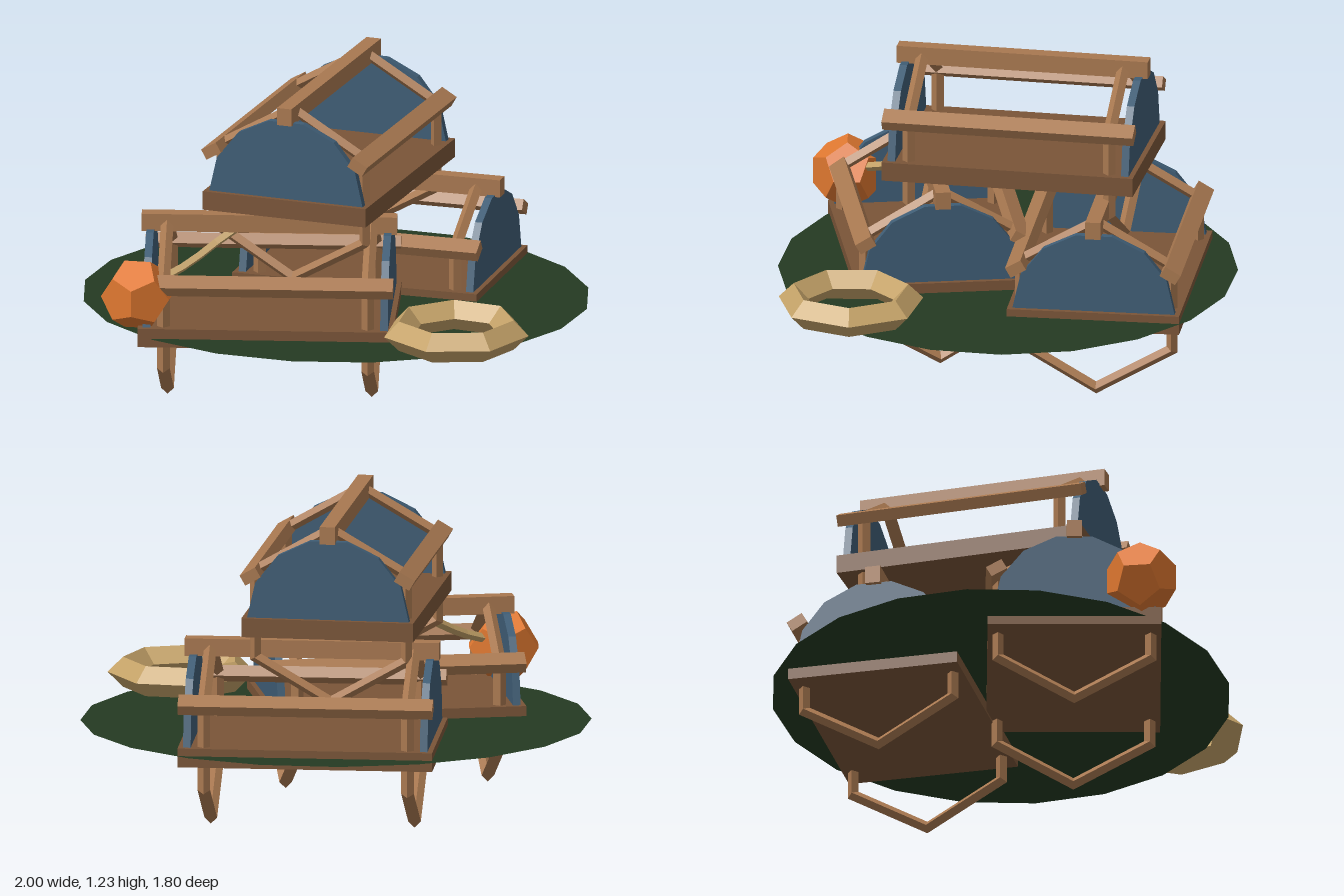
import * as THREE from 'three';

const mat = (color, side = THREE.FrontSide) =>
  new THREE.MeshStandardMaterial({ color, flatShading: true, side });

const wood = mat(0xa87850);
const darkWood = mat(0x7a5538);
const netBlue = mat(0x3f5d75);
const rope = mat(0xc4a268);
const orange = mat(0xe07830);
const green = mat(0x243a22, THREE.DoubleSide);

function add(parent, name, geometry, material, x = 0, y = 0, z = 0) {
  const mesh = new THREE.Mesh(geometry, material);
  mesh.name = name;
  mesh.position.set(x, y, z);
  parent.add(mesh);
  return mesh;
}

// One slatted trap, long axis along z, origin at the top of its floor
function createTrap(name) {
  const trap = new THREE.Group();
  trap.name = name;
  add(trap, 'floor', new THREE.BoxGeometry(0.68, 0.075, 1), darkWood, 0, -0.0375, 0);
  add(trap, 'ridgeBeam', new THREE.BoxGeometry(0.06, 0.07, 1), wood, 0, 0.34, 0);
  for (const s of [-1, 1]) {
    // side rails tilted to the roof slope
    const rail = add(trap, 'sideRail', new THREE.BoxGeometry(0.07, 0.045, 1), wood, s * 0.305, 0.168, 0);
    rail.rotation.z = -s * Math.PI / 6;

    // six-sided bow, running above and below the floor
    const bow = new THREE.TorusGeometry(0.345, 0.025, 4, 6);
    bow.rotateZ(Math.PI / 2);
    add(trap, 'bow', bow, wood, 0, 0, s * 0.4);

    // half-round net panel closing the end
    const panel = new THREE.CylinderGeometry(0.32, 0.32, 0.03, 7, 1, false, Math.PI / 2, Math.PI);
    panel.rotateX(Math.PI / 2);
    add(trap, 'endNet', panel, netBlue, 0, 0, s * 0.465);
  }
  return trap;
}

export function createModel() {
  const model = new THREE.Group();
  model.name = 'trapStack';

  // Oval ground patch, cutting through the lower floors
  const ground = new THREE.CircleGeometry(1, 20);
  ground.rotateX(-Math.PI / 2);
  ground.scale(1, 1, 0.9);
  add(model, 'groundPatch', ground, green, 0, 0.34, 0);

  // Two traps side by side with a third on top: name, position, turn
  const traps = [
    ['frontTrap', [-0.203, 0.38, 0.315], Math.PI / 2 + 0.14],
    ['backTrap', [0.097, 0.37, -0.4], Math.PI / 2 - 0.105],
    ['topTrap', [-0.04, 0.85, -0.06], -0.165],
  ];
  for (const [name, position, turn] of traps) {
    const trap = createTrap(name);
    trap.position.set(...position);
    trap.rotation.y = turn;
    model.add(trap);
  }

  // Coil of rope
  const coil = new THREE.TorusGeometry(0.23, 0.06, 4, 7);
  coil.rotateX(Math.PI / 2);
  add(model, 'ropeCoil', coil, rope, 0.595, 0.405, 0.6);

  // Float and the line tied to it
  add(model, 'buoy', new THREE.DodecahedronGeometry(0.145), orange, -0.665, 0.497, 0.645);
  const line = new THREE.CatmullRomCurve3([
    new THREE.Vector3(-0.64, 0.52, 0.62),
    new THREE.Vector3(-0.5, 0.58, 0.49),
    new THREE.Vector3(-0.38, 0.66, 0.36),
    new THREE.Vector3(-0.28, 0.72, 0.28),
  ]);
  add(model, 'buoyLine', new THREE.TubeGeometry(line, 6, 0.018, 4), rope);

  return model;
}
